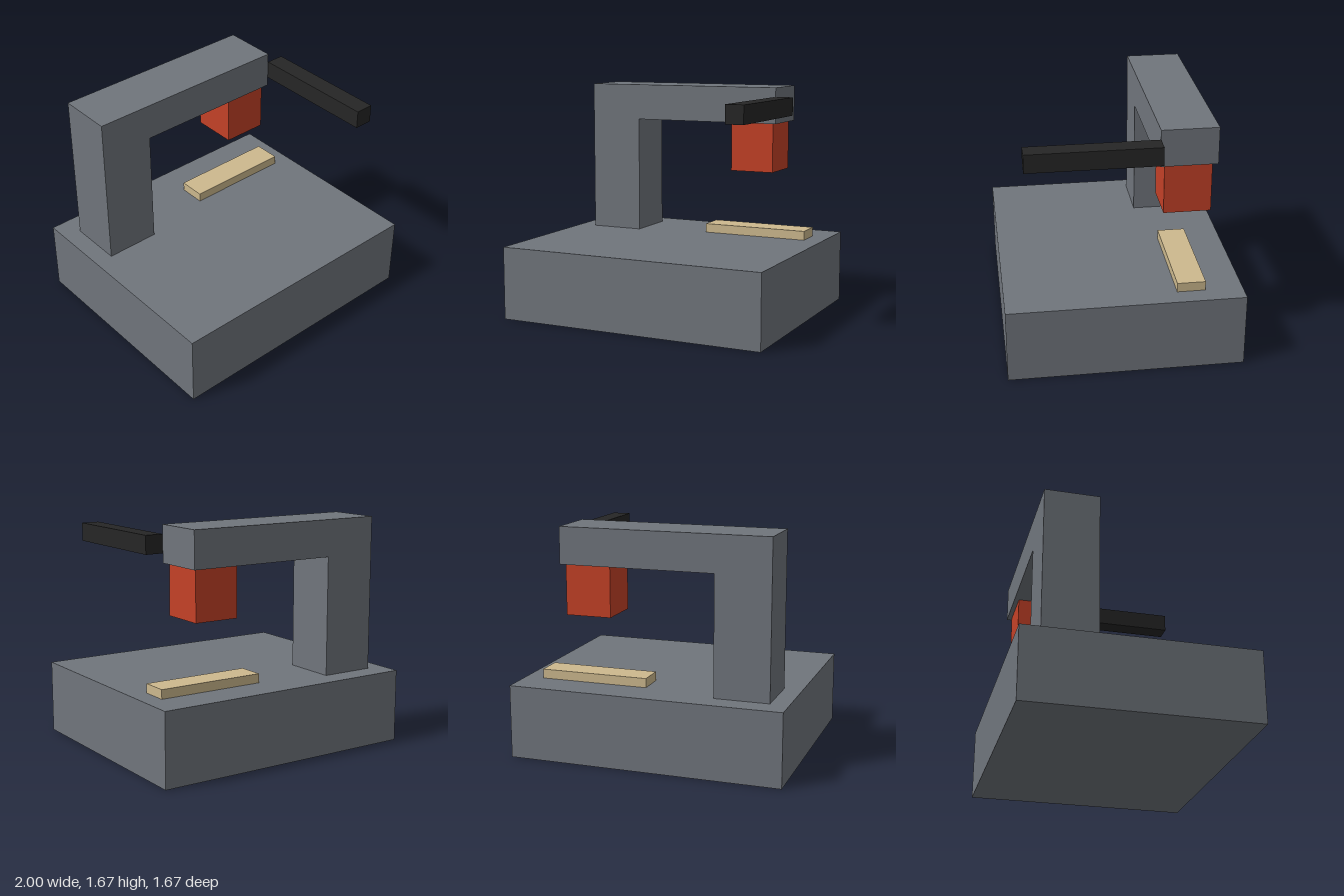
import * as THREE from 'three';

const material = (color) => new THREE.MeshStandardMaterial({ color, flatShading: true });

// Box given by its low and high corners
function block(name, mat, [x0, y0, z0], [x1, y1, z1]) {
  const mesh = new THREE.Mesh(new THREE.BoxGeometry(x1 - x0, y1 - y0, z1 - z0), mat);
  mesh.position.set((x0 + x1) / 2, (y0 + y1) / 2, (z0 + z1) / 2);
  mesh.name = name;
  return mesh;
}

export function createModel() {
  const model = new THREE.Group();
  model.name = 'press';

  const steel = material(0x70757c);
  const red = material(0xc44127);
  const black = material(0x262626);
  const wood = material(0xcdb98e);

  // Heavy base slab
  model.add(block('base', steel, [-1, 0, -0.833], [1, 0.533, 0.833]));

  // Column and overhanging arm in one piece
  const outline = new THREE.Shape([
    [-0.867, 0.533], [-0.467, 0.533], [-0.467, 1.4],
    [0.663, 1.4], [0.663, 1.667], [-0.867, 1.667],
  ].map(([x, y]) => new THREE.Vector2(x, y)));
  const frame = new THREE.Mesh(
    new THREE.ExtrudeGeometry(outline, { depth: 0.4, bevelEnabled: false }), steel);
  frame.position.z = -0.667;
  frame.name = 'frame';
  model.add(frame);

  // Press head under the arm, and the lever at the arm's end
  model.add(block('pressHead', red, [0.3, 1.035, -0.633], [0.632, 1.4, -0.3]));
  model.add(block('lever', black, [0.663, 1.467, -0.267], [0.797, 1.6, 0.665]));

  // Workpiece lying on the base
  model.add(block('workpiece', wood, [0.063, 0.533, -0.567], [0.863, 0.6, -0.367]));

  return model;
}
